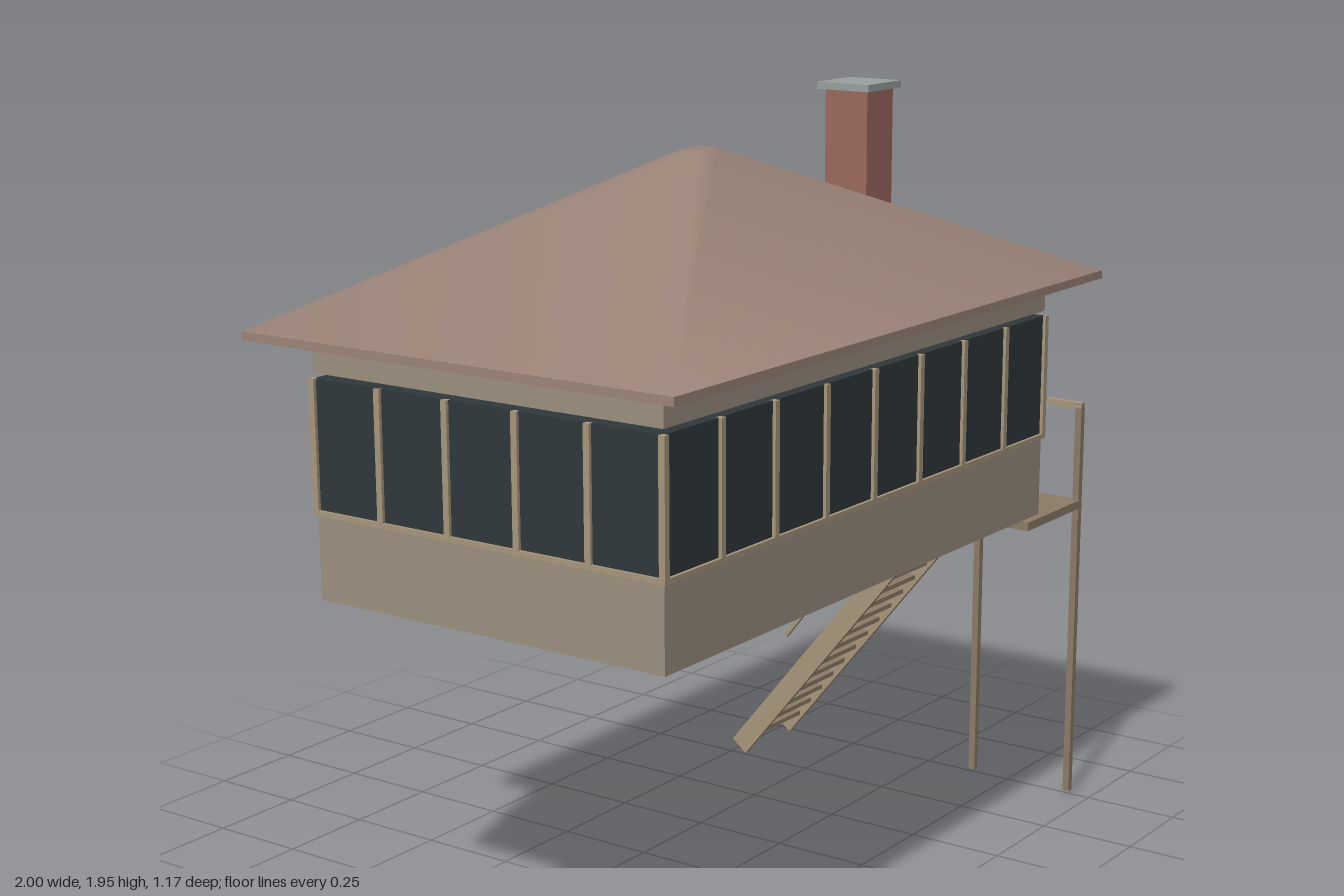
import * as THREE from 'three';

const mat = (color) => new THREE.MeshStandardMaterial({ color });
const wallMat = mat(0x9c9080), trimMat = mat(0xa8967c), glassMat = mat(0x30383c);
const roofMat = mat(0x9c8478), doorMat = mat(0x7f9a94), brickMat = mat(0x9c6a5e);
const capMat = mat(0x98a29e), signMat = mat(0xbcb9a4), woodMat = mat(0x8c7c68);

export function createModel() {
  const model = new THREE.Group();

  const add = (name, geometry, material) => {
    const mesh = new THREE.Mesh(geometry, material);
    mesh.name = name;
    model.add(mesh);
    return mesh;
  };
  // Box given by its limits on each axis
  const box = (name, material, [x0, x1], [y0, y1], [z0, z1]) => {
    const mesh = add(name, new THREE.BoxGeometry(x1 - x0, y1 - y0, z1 - z0), material);
    mesh.position.set((x0 + x1) / 2, (y0 + y1) / 2, (z0 + z1) / 2);
    return mesh;
  };
  // Sloping bar in the y-z plane, from [z, y] to [z, y]
  const slopedBar = (name, material, x, [z0, y0], [z1, y1], width, depth) => {
    const dz = z1 - z0, dy = y1 - y0;
    const mesh = add(name, new THREE.BoxGeometry(width, depth, Math.hypot(dz, dy)), material);
    mesh.position.set(x, (y0 + y1) / 2, (z0 + z1) / 2);
    mesh.rotation.x = -Math.atan2(dy, dz);
    return mesh;
  };

  // Cabin: lower wall, window band, upper wall
  const X0 = -0.893, X1 = 0.703, Z = 0.48;
  box('lowerWall', wallMat, [X0, X1], [0.86, 1.06], [-Z, Z]);
  box('windowBand', glassMat, [X0, X1], [1.06, 1.37], [-Z, Z]);
  box('upperWall', wallMat, [X0, X1], [1.382, 1.46], [-Z, Z]);

  // Sills and mullions on all four sides
  const t = 0.008;
  for (const s of [-1, 1]) {
    box('longSill', trimMat, [X0 - t, X1 + t], [1.058, 1.07], [s * Z - t, s * Z + t]);
    for (let i = 0; i <= 8; i++) {
      const x = X0 + (X1 - X0) * i / 8;
      box('mullion', trimMat, [x - t, x + t], [1.06, 1.37], [s * Z - t, s * Z + t]);
    }
  }
  for (const x of [X0, X1]) {
    box('shortSill', trimMat, [x - t, x + t], [1.058, 1.07], [-Z, Z]);
    for (let i = 1; i < 5; i++) {
      const z = -Z + 2 * Z * i / 5;
      box('mullion', trimMat, [x - t, x + t], [1.06, 1.37], [z - t, z + t]);
    }
  }
  box('door', doorMat, [0.69, 0.713], [0.86, 1.393], [0.18, 0.405]);

  // Hipped roof with a small flat top, on a thin eaves slab
  const r = Math.SQRT1_2;
  const roof = new THREE.CylinderGeometry(r * 0.044, r, 0.35, 4);
  roof.rotateY(Math.PI / 4).scale(1.8, 1, 1.17);
  add('roof', roof, roofMat).position.set(-0.1, 1.655, 0);
  box('eaves', roofMat, [-1, 0.8], [1.46, 1.48], [-0.585, 0.585]);

  // Chimney
  box('chimney', brickMat, [0.273, 0.387], [1.55, 1.945], [0.105, 0.222]);
  box('chimneyCap', capMat, [0.257, 0.402], [1.943, 1.96], [0.09, 0.235]);

  // Board below the rear wall
  box('board', signMat, [-0.175, 0.248], [0.68, 0.76], [-0.529, -0.517]);

  // Landing with outer posts and rail
  box('landing', woodMat, [0.703, 0.993], [0.81, 0.832], [0.135, 0.452]);
  for (const z of [0.441, 0.149]) {
    box('landingPost', woodMat, [0.979, 0.997], [0.02, 1.09], [z - 0.009, z + 0.009]);
  }
  box('landingRail', trimMat, [0.979, 0.997], [1.078, 1.093], [0.14, 0.45]);

  // Stairs
  for (const x of [0.763, 0.986]) {
    slopedBar('stringer', trimMat, x, [0.157, 0.815], [-0.478, 0.023], 0.014, 0.056);
  }
  for (let i = 0; i < 16; i++) {
    const y = 0.07 + 0.047 * i;
    const z = -0.443 + 0.0377 * i;
    box('tread', woodMat, [0.763, 0.986], [y - 0.006, y + 0.006], [z - 0.023, z + 0.023]);
  }
  slopedBar('handrail', trimMat, 0.988, [0.145, 1.085], [-0.475, 0.292], 0.012, 0.012);

  return model;
}
